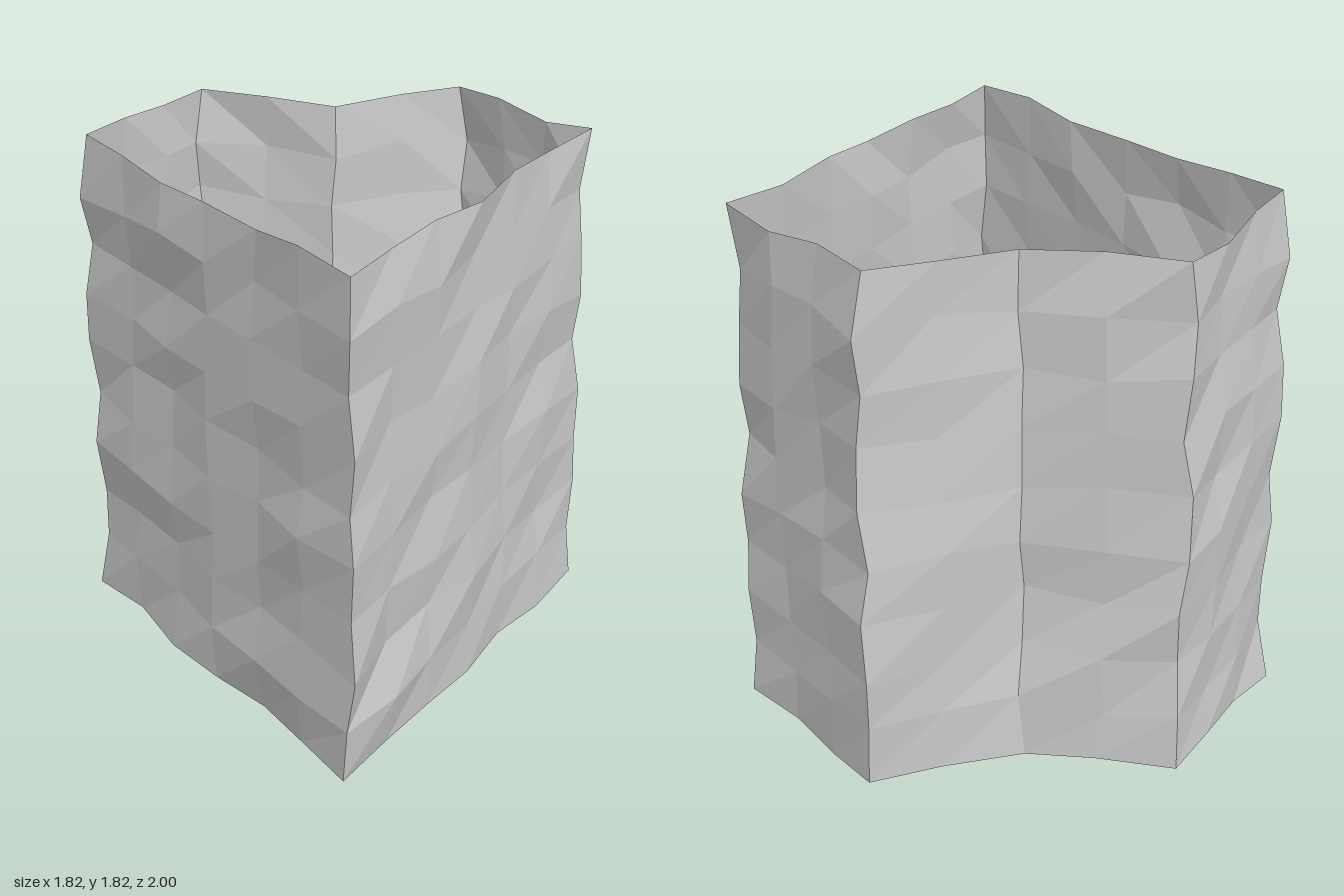
import * as THREE from 'three';

// Heart-shaped plan as [x, z] corners, with the number of segments to the next corner
const CORNERS = [
  [0, 0.98, 6], [0.89, -0.4, 3], [0.505, -0.98, 2],
  [0, -0.805, 2], [-0.505, -0.98, 3], [-0.89, -0.4, 6],
];
const ROWS = 9, BOTTOM = 0.02, TOP = 1.805, JITTER = 0.02;

// Small seeded generator, returns -1..1
function seeded(seed) {
  let s = seed;
  return () => {
    s = (s * 16807) % 2147483647;
    return (s / 2147483647) * 2 - 1;
  };
}

// Points around the plan, each straight side split evenly
function planPoints() {
  const points = [];
  CORNERS.forEach(([x, z, n], i) => {
    const [x2, z2] = CORNERS[(i + 1) % CORNERS.length];
    for (let k = 0; k < n; k++) {
      const t = k / n;
      points.push([x + (x2 - x) * t, z + (z2 - z) * t]);
    }
  });
  return points;
}

// Open wall: stacked rings of slightly roughened points joined by quads
function wallGeometry() {
  const plan = planPoints(), n = plan.length, rnd = seeded(4217);
  const positions = [], index = [];
  for (let r = 0; r <= ROWS; r++) {
    const y = BOTTOM + ((TOP - BOTTOM) * r) / ROWS;
    for (const [x, z] of plan) {
      positions.push(x + rnd() * JITTER, y + rnd() * JITTER, z + rnd() * JITTER);
    }
  }
  for (let r = 0; r < ROWS; r++) {
    for (let i = 0; i < n; i++) {
      const a = r * n + i, b = r * n + ((i + 1) % n);
      index.push(a, b, b + n, a, b + n, a + n);
    }
  }
  const geometry = new THREE.BufferGeometry();
  geometry.setAttribute('position', new THREE.Float32BufferAttribute(positions, 3));
  geometry.setIndex(index);
  const flat = geometry.toNonIndexed();
  flat.computeVertexNormals();
  return flat;
}

export function createModel() {
  const group = new THREE.Group();
  group.name = 'heartShapedTube';
  const material = new THREE.MeshStandardMaterial({
    color: 0xcccccc, flatShading: true, side: THREE.DoubleSide,
  });
  const wall = new THREE.Mesh(wallGeometry(), material);
  wall.name = 'wall';
  group.add(wall);
  return group;
}
